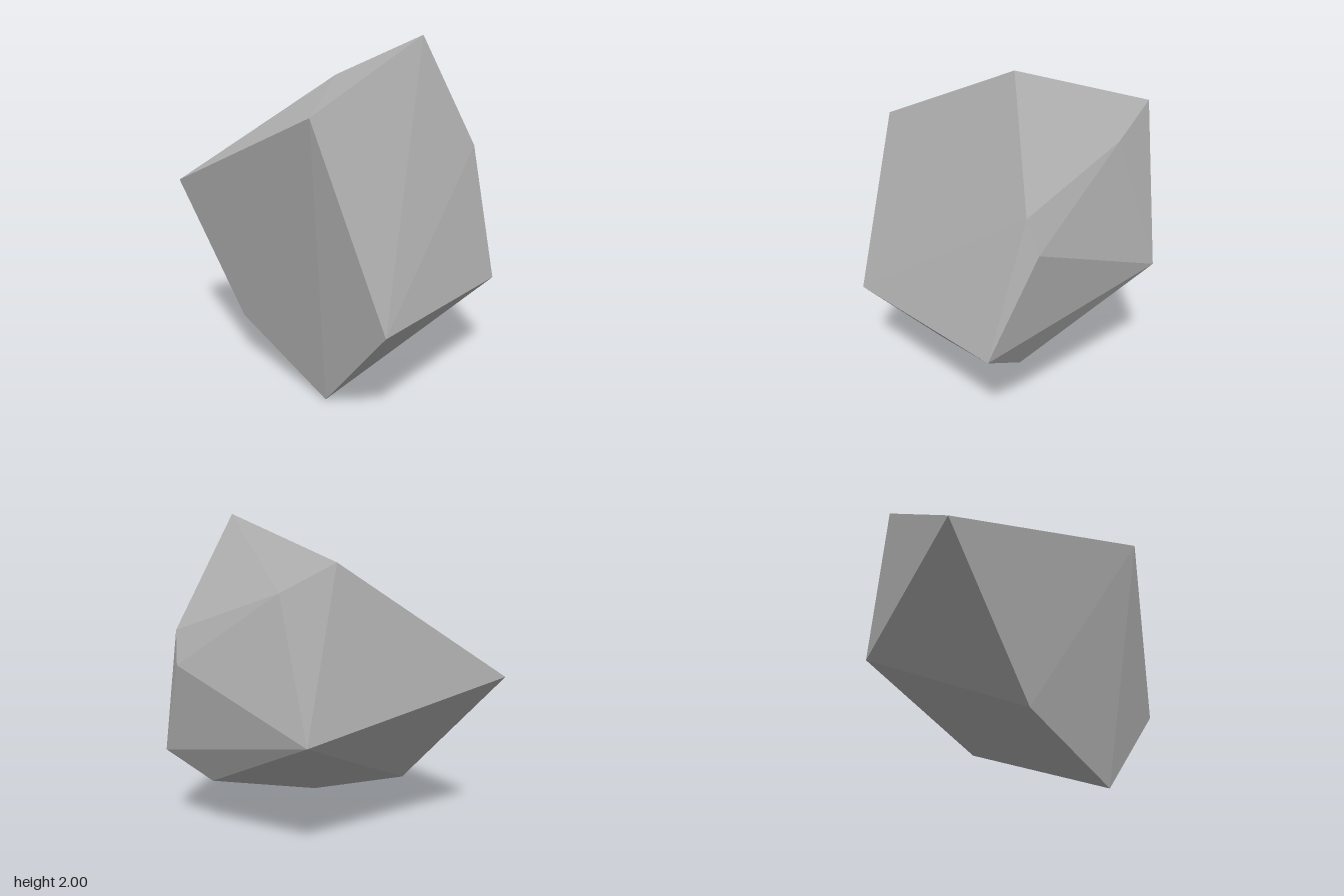
import * as THREE from 'three';
import { ConvexGeometry } from 'three/addons/geometries/ConvexGeometry.js';

// A faceted boulder: the convex hull of its corner points.
const corners = [
  // front face ring
  [-0.98, 1.06, 0.62], [0.64, 1.59, 0.72], [0.98, 0.53, 0.52],
  [0.47, 0, 0.5], [-0.3, 0.28, 0.55],
  // top ridge
  [-0.54, 1.75, -0.38], [0.33, 2, -0.35],
  // back
  [0.46, 1.33, -0.69], [0.41, 1.13, -0.73], [-0.24, 1.58, -0.51],
  [-0.5, 0.78, -0.56], [0.68, 0.53, -0.65], [0.4, 0.35, -0.5],
];

export function createModel() {
  const stone = new THREE.MeshStandardMaterial({ color: 0xb4b4b4, flatShading: true });
  stone.name = 'grey stone';

  const boulder = new THREE.Mesh(
    new ConvexGeometry(corners.map((c) => new THREE.Vector3(...c))),
    stone,
  );
  boulder.name = 'boulder';

  const model = new THREE.Group();
  model.name = 'rock';
  model.add(boulder);
  return model;
}
